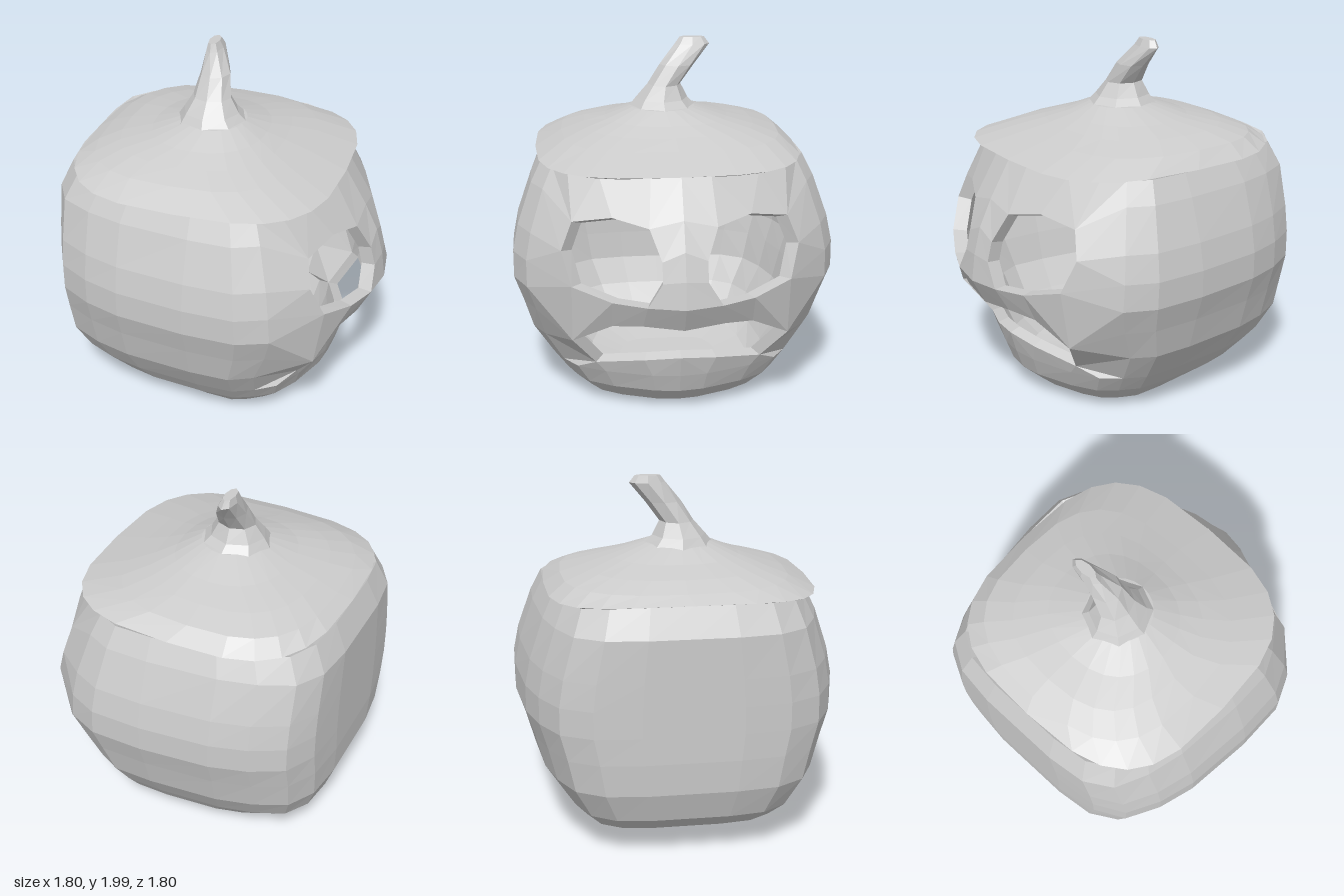
import * as THREE from 'three';

// Body cross-sections from the rim down: y, reach to the back, reach to the face, half width
const ROWS = [
  [1.4, 0.83, 0.65, 0.73], [1.28, 0.9, 0.73, 0.79], [1.05, 0.9, 0.84, 0.87], [0.9, 0.9, 0.88, 0.9],
  [0.75, 0.9, 0.9, 0.9], [0.6, 0.9, 0.82, 0.85], [0.42, 0.89, 0.68, 0.8], [0.25, 0.83, 0.63, 0.69],
  [0.14, 0.69, 0.59, 0.61], [0.055, 0.53, 0.46, 0.52], [0.027, 0.3, 0.25, 0.33],
];
const FACE_ROWS = 8; // the carved face spans these rows
const FACE_COLS = 4; // and this many outline steps to each side

// Half outline seen from above, face (+x) to back (-x), mirrored into a closed loop
const HALF = [[1, 0], [0.97, 0.22], [0.83, 0.59], [0.69, 0.81], [0.52, 0.92], [0.33, 1], [0, 1],
  [-0.44, 0.95], [-0.67, 0.88], [-0.87, 0.77], [-0.97, 0.58], [-1, 0.3], [-1, 0]];
const LOOP = [...HALF, ...HALF.slice(1, -1).reverse().map(([x, z]) => [x, -z])];
const N = LOOP.length;

// Carved openings on the +z half, as (z, y)
const EYE = [[0.64, 1.01], [0.58, 1.16], [0.37, 1.2], [0.18, 1.16], [0.12, 1.0], [0.12, 0.89],
  [0.2, 0.76], [0.38, 0.77], [0.59, 0.83]];
const MOUTH = [[0, 0.375], [0.2, 0.355], [0.46, 0.31], [0.59, 0.5], [0.38, 0.61], [0.22, 0.63], [0, 0.605]];

const lerp = THREE.MathUtils.lerp;

// Rim raised at the back
const rimLift = (x) => (x < 0 ? 0.035 * (x / 0.83) ** 6 : 0);

// Raised back rim and slightly tilted base
function place(x, y, z) {
  if (y > 1.3) y += rimLift(x);
  if (y < 0.1) y -= 0.06 * x;
  return new THREE.Vector3(x, y, z);
}

const inset = (p) => new THREE.Vector3(p.x * 0.91, 0.75 + (p.y - 0.75) * 0.94, p.z * 0.91);

function ringPoint([y, back, front, wide], i) {
  const [u, v] = LOOP[i % N];
  return place(u * (u > 0 ? front : back), y, v * wide);
}

// Point on the face surface above a flat (z, y) position
function facePoint([z, y]) {
  let r = 0;
  while (r < FACE_ROWS - 2 && ROWS[r + 1][0] > y) r++;
  const a = ROWS[r], b = ROWS[r + 1], t = (a[0] - y) / (a[0] - b[0]);
  const u = Math.abs(z) / lerp(a[3], b[3], t);
  let k = 0;
  while (k < FACE_COLS - 1 && HALF[k + 1][1] < u) k++;
  const s = (u - HALF[k][1]) / (HALF[k + 1][1] - HALF[k][1]);
  // fuller cheeks beside the mouth
  const cheek = 0.1 * Math.max(0, 1 - Math.abs(y - 0.5) / 0.2) * Math.max(0, 1 - Math.abs(u - 0.7) / 0.22);
  return place(lerp(HALF[k][0], HALF[k + 1][0], s) * lerp(a[2], b[2], t) + cheek, y, z);
}

function makeMesh(name, tris, side = THREE.FrontSide) {
  const geometry = new THREE.BufferGeometry().setFromPoints(tris);
  geometry.computeVertexNormals();
  const material = new THREE.MeshStandardMaterial({ color: 0xcccccc, flatShading: true, side });
  const mesh = new THREE.Mesh(geometry, material);
  mesh.name = name;
  return mesh;
}

// Quads between rings listed from top to bottom
function loft(tris, rings, from = 0, to = rings[0].length) {
  for (let r = 0; r < rings.length - 1; r++) {
    for (let i = from; i < to; i++) {
      const j = (i + 1) % rings[r].length;
      const a = rings[r][i], b = rings[r][j], c = rings[r + 1][j], d = rings[r + 1][i];
      tris.push(a, b, c, a, c, d);
    }
  }
}

function cap(tris, ring, centre, up) {
  ring.forEach((p, i) => {
    const q = ring[(i + 1) % ring.length];
    tris.push(centre, up ? q : p, up ? p : q);
  });
}

// Sides, back and base
function bodyTriangles() {
  const tris = [];
  const rings = ROWS.map((row) => LOOP.map((_, i) => ringPoint(row, i)));
  loft(tris, rings.slice(0, FACE_ROWS), FACE_COLS, N - FACE_COLS);
  loft(tris, rings.slice(FACE_ROWS - 1));
  cap(tris, rings[ROWS.length - 1], new THREE.Vector3(0, 0.025, 0), false);
  return tris;
}

// Carved face: facet strips around the openings, bent onto the body and mirrored
function faceTriangles() {
  const edge = (row) => HALF.slice(0, FACE_COLS).map((p) => [p[1] * row[3], row[0]]);
  const side = ROWS.slice(0, FACE_ROWS).map((row) => [HALF[FACE_COLS][1] * row[3], row[0]]);
  const nose = [[0, 1.2], [0, 1.05], [0, 0.9], [0, 0.75]];
  const eye = (...ids) => ids.map((i) => EYE[i]);
  const mouth = (...ids) => ids.map((i) => MOUTH[i]);
  const strips = [
    // forehead and temple
    [[...edge(ROWS[0]), ...side.slice(0, 6)], [nose[0], ...eye(3, 2, 1, 1, 1, 0, 0, 8), MOUTH[3]]],
    // bridge of the nose
    [nose, eye(3, 4, 5, 6)],
    // upper lip
    [[nose[3], ...eye(6, 7, 8)], mouth(6, 5, 4, 3)],
    // jaw
    [[...side.slice(5), ...edge(ROWS[FACE_ROWS - 1]).reverse()], mouth(3, 3, 2, 2, 2, 1, 0)],
  ];
  const tris = [];
  for (const [p, q] of strips) {
    for (let i = 0; i < p.length - 1; i++) {
      for (const tri of [[p[i], p[i + 1], q[i + 1]], [p[i], q[i + 1], q[i]]]) {
        const area = THREE.ShapeUtils.area(tri.map(([x, y]) => ({ x, y })));
        if (Math.abs(area) < 1e-6) continue;
        const [a, b, c] = area > 0 ? [...tri].reverse() : tri;
        tris.push(...[a, b, c].map(facePoint));
        tris.push(...[a, c, b].map(([z, y]) => facePoint([-z, y])));
      }
    }
  }
  return tris;
}

// Wall thickness along an edge
function wall(path) {
  const tris = [];
  for (let i = 0; i < path.length - 1; i++) {
    const a = path[i], b = path[i + 1], c = inset(b), d = inset(a);
    tris.push(a, b, c, a, c, d);
  }
  return tris;
}

// Same surface, shrunk and turned inside out
const inside = (tris) => tris.map(inset).reverse();

// Squared ring: y, x range, z range, squareness
function squareRing([y, x0, x1, z0, z1, n], sides) {
  return Array.from({ length: sides }, (_, i) => {
    const a = (i / sides) * Math.PI * 2;
    const power = (v) => Math.sign(v) * Math.abs(v) ** (2 / n);
    const x = (x0 + x1) / 2 + ((x1 - x0) / 2) * power(Math.cos(a));
    const z = (z0 + z1) / 2 + ((z1 - z0) / 2) * power(Math.sin(a));
    return new THREE.Vector3(x, y < 1.42 ? y + rimLift(x) : y, z);
  });
}

// Solid lofted from squared rings and closed at both ends
function solid(name, rows, sides, top, bottom) {
  const tris = [];
  const rings = rows.map((row) => squareRing(row, sides));
  loft(tris, rings);
  cap(tris, rings[0], new THREE.Vector3(...top), true);
  cap(tris, rings[rings.length - 1], new THREE.Vector3(...bottom), false);
  return makeMesh(name, tris);
}

export function createModel() {
  const group = new THREE.Group();
  group.name = 'carvedPumpkin';
  const body = bodyTriangles(), face = faceTriangles();
  group.add(makeMesh('body', body), makeMesh('carvedFace', face));
  group.add(makeMesh('innerWall', [...inside(body), ...inside(face)]));

  // Cut edges of the openings
  for (const s of [1, -1]) {
    const eye = [...EYE, EYE[0]].map(([z, y]) => facePoint([z * s, y]));
    group.add(makeMesh('eyeRim', wall(eye), THREE.DoubleSide));
  }
  const mouth = [...MOUTH, ...[...MOUTH].reverse().map(([z, y]) => [-z, y])];
  group.add(makeMesh('mouthRim', wall(mouth.map(facePoint)), THREE.DoubleSide));
  const top = [...LOOP, LOOP[0]].map((_, i) => ringPoint(ROWS[0], i));
  group.add(makeMesh('topRim', wall(top), THREE.DoubleSide));

  // Lid with a lip reaching inside the rim
  group.add(solid('lid', [
    [1.62, -0.29, 0.07, -0.16, 0.21, 2], [1.56, -0.46, 0.19, -0.35, 0.36, 2.3],
    [1.52, -0.63, 0.29, -0.5, 0.48, 2.6], [1.475, -0.75, 0.42, -0.64, 0.61, 2.9],
    [1.4, -0.83, 0.65, -0.73, 0.76, 3.2], [1.38, -0.77, 0.6, -0.67, 0.7, 3.2],
    [1.43, -0.6, 0.4, -0.5, 0.5, 2.6],
  ], 24, [-0.11, 1.64, 0.02], [-0.1, 1.47, 0]));

  // Stem bending to -z
  group.add(solid('stem', [
    [2.0, -0.2, -0.14, -0.22, -0.08, 2], [1.96, -0.21, -0.12, -0.25, -0.05, 2],
    [1.85, -0.22, -0.05, -0.16, 0.04, 2], [1.74, -0.24, -0.02, -0.08, 0.11, 2],
    [1.66, -0.29, 0.03, -0.12, 0.18, 2], [1.6, -0.33, 0.09, -0.18, 0.23, 2],
  ], 8, [-0.17, 2.0, -0.15], [-0.11, 1.58, 0.02]));
  return group;
}
